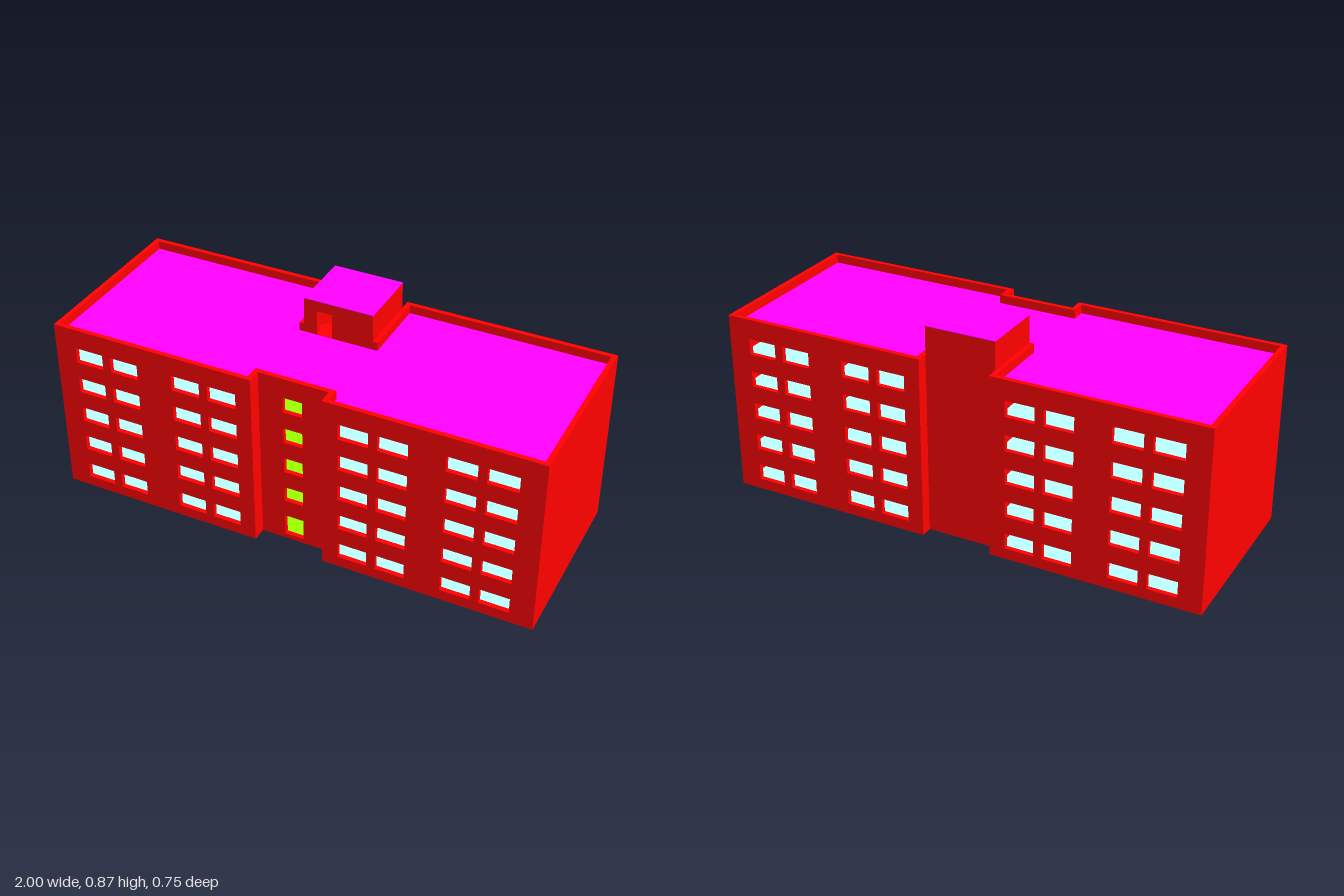
import * as THREE from 'three';

const mat = (color) => new THREE.MeshStandardMaterial({ color, flatShading: true });
const RED = mat(0xff0000), ROOF = mat(0xff00ff), FLOOR = mat(0xbbffff), LOBBY = mat(0x99ff00);

const STOREYS = 5, RISE = 0.139, BASE = 0.02, T = 0.02;
const TOP = 0.75, ROOF_Y = BASE + STOREYS * RISE;
const IN = 0.145;           // inner end of each wing
const HALF_Z = 0.375;

export function createModel() {
  const model = new THREE.Group();
  model.name = 'apartmentBlock';

  // Box given by its minimum and maximum corners
  function box(name, material, x0, x1, y0, y1, z0, z1, parent = model) {
    const mesh = new THREE.Mesh(new THREE.BoxGeometry(x1 - x0, y1 - y0, z1 - z0), material);
    mesh.position.set((x0 + x1) / 2, (y0 + y1) / 2, (z0 + z1) / 2);
    mesh.name = name;
    parent.add(mesh);
    return mesh;
  }

  // Wall facing z, with rectangular holes [x0, x1, y0, y1]
  function wall(name, x0, x1, y0, y1, z0, holes) {
    const rect = (S, a, b, c, d) => {
      const s = new S();
      s.moveTo(a, c);
      s.lineTo(b, c);
      s.lineTo(b, d);
      s.lineTo(a, d);
      s.closePath();
      return s;
    };
    const shape = rect(THREE.Shape, x0, x1, y0, y1);
    shape.holes = holes.map((h) => rect(THREE.Path, ...h));
    const geo = new THREE.ExtrudeGeometry(shape, { depth: T, bevelEnabled: false });
    const mesh = new THREE.Mesh(geo, RED);
    mesh.position.z = z0;
    mesh.name = name;
    model.add(mesh);
  }

  // Floor slab with a coloured top and a ceiling underneath
  function slab(name, top, x0, x1, y, z0, z1) {
    box(name + 'Ceiling', ROOF, x0, x1, y - T, y - T / 2, z0, z1);
    box(name, top, x0, x1, y - T / 2, y, z0, z1);
  }

  const storeys = [...Array(STOREYS).keys()];
  const leftEdges = [-0.91, -0.755, -0.485, -0.33];
  const rightEdges = [0.21, 0.365, 0.63, 0.785];
  const windows = (edges) => storeys.flatMap((k) =>
    edges.map((x) => [x, x + 0.12, 0.045 + k * RISE, 0.111 + k * RISE]));

  // Wings
  for (const s of [-1, 1]) {
    const side = s < 0 ? 'right' : 'left';
    const span = (a, b) => (s < 0 ? [-b, -a] : [a, b]);
    const edges = s < 0 ? leftEdges : rightEdges;
    const backEdges = (s < 0 ? rightEdges : leftEdges).map((x) => -x - 0.12);
    const [x0, x1] = span(IN, 1);
    const [i0, i1] = span(IN + T, 1 - T);

    wall(side + 'FrontWall', x0, x1, 0, TOP, HALF_Z - T, windows(edges));
    wall(side + 'BackWall', x0, x1, 0, TOP, -HALF_Z, windows(backEdges));
    box(side + 'EndWall', RED, ...span(1 - T, 1), 0, TOP, -HALF_Z + T, HALF_Z - T);
    box(side + 'InnerWall', RED, ...span(IN, IN + T), 0, ROOF_Y - T, -HALF_Z + T, HALF_Z - T);
    box(side + 'BackParapet', RED, ...span(IN, IN + T), ROOF_Y - T, TOP, -HALF_Z + T, -0.055);
    box(side + 'FrontParapet', RED, ...span(IN, IN + T), ROOF_Y - T, TOP, 0.295, HALF_Z - T);

    // Partition between rooms, and spine wall with a door per room
    box(side + 'Partition', RED, ...span(0.56, 0.575), BASE, ROOF_Y - T, -HALF_Z + T, HALF_Z - T);
    const doors = s < 0 ? [-0.69, -0.27] : [0.42, 0.847];
    wall(side + 'SpineWall', i0, i1, BASE, ROOF_Y - T, -T / 2, storeys.flatMap((k) =>
      doors.map((x) => [x, x + 0.065, BASE + 0.001 + k * RISE, 0.115 + k * RISE])));

    // Base, floors and roof
    box(side + 'Base', RED, i0, i1, 0, BASE - 0.005, -HALF_Z + T, HALF_Z - T);
    box(side + 'GroundFloor', FLOOR, i0, i1, BASE - 0.005, BASE, -HALF_Z + T, HALF_Z - T);
    for (const k of storeys.slice(1))
      slab(side + 'Floor', FLOOR, i0, i1, BASE + k * RISE, -HALF_Z + T, HALF_Z - T);
    box(side + 'Roof', ROOF, i0, i1, ROOF_Y - T, ROOF_Y, -HALF_Z + T, HALF_Z - T);
  }

  // Central entrance bay: door below, windows above
  wall('entranceWall', -IN, IN, 0, TOP, 0.295, storeys.map((k) =>
    [-0.045, 0.035, (k ? 0.045 : BASE) + k * RISE, 0.111 + k * RISE]));
  box('centreBase', RED, -IN, IN, 0, BASE - 0.005, -0.305, 0.295);
  box('lobbyGroundFloor', LOBBY, -IN, IN, BASE - 0.005, BASE, -0.305, 0.295);
  for (const k of storeys.slice(1))
    slab('lobbyFloor', LOBBY, -IN, IN, BASE + k * RISE, -0.09, 0.295);
  box('lobbyRoof', ROOF, -IN - T, IN + T, ROOF_Y - T, ROOF_Y, -0.055, 0.295);
  box('topLanding', RED, -IN, IN, ROOF_Y - T, ROOF_Y, -0.09, -0.055);

  // Stair tower rising above the roof
  const CAP = 0.865;
  box('towerBackWall', RED, -IN, IN, 0, CAP - T, -0.325, -0.305);
  for (const s of [-1, 1])
    box('towerSideWall', RED, s * (IN - T / 2) - T / 2, s * (IN - T / 2) + T / 2,
      ROOF_Y - T, CAP - T, -0.305, -0.075);
  wall('towerFrontWall', -IN, IN, ROOF_Y, CAP - T, -0.075,
    [[-0.09, -0.025, ROOF_Y + 0.001, 0.82]]);
  box('towerCap', RED, -IN, IN, CAP - T, CAP - 0.003, -0.325, -0.055);
  box('towerRoof', ROOF, -IN, IN, CAP - 0.003, CAP, -0.325, -0.055);

  // Two flights and a half landing per storey
  const STEPS = 8, dy = RISE / (2 * STEPS), dz = 0.16 / STEPS;
  const stairs = new THREE.Group();
  stairs.name = 'stairs';
  model.add(stairs);
  for (const k of storeys) {
    const y = BASE + k * RISE;
    for (let i = 0; i < STEPS; i++) {
      const up = y + (i + 1) * dy, z = -0.09 - i * dz;
      box('lowerStep', RED, 0.005, 0.12, up - 0.016, up, z - dz, z, stairs);
      const up2 = up + RISE / 2, z2 = -0.25 + i * dz;
      box('upperStep', RED, -0.12, -0.005, up2 - 0.016, up2, z2, z2 + dz, stairs);
    }
    box('halfLanding', RED, -0.125, 0.125, y + RISE / 2 - 0.016, y + RISE / 2, -0.305, -0.25, stairs);
  }
  return model;
}
